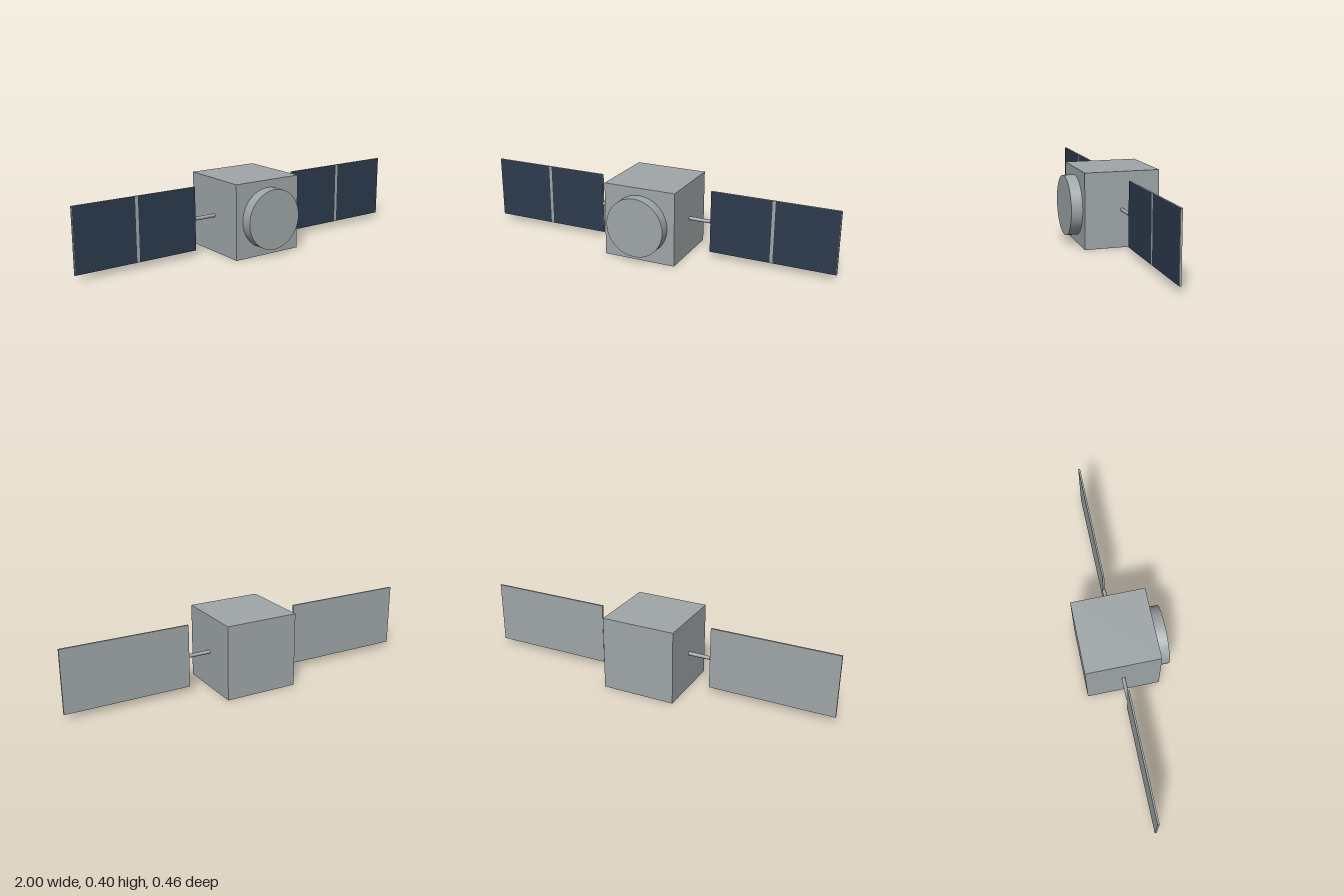
import * as THREE from 'three';

export function createModel() {
  const group = new THREE.Group();
  const grey = new THREE.MeshStandardMaterial({ color: 0xa0a7a9 });
  grey.name = 'hullGrey';
  const navy = new THREE.MeshStandardMaterial({ color: 0x2d3b4e });
  navy.name = 'solarCellNavy';

  const add = (name, geometry, material, x, y, z) => {
    const mesh = new THREE.Mesh(geometry, material);
    mesh.name = name;
    mesh.position.set(x, y, z);
    group.add(mesh);
    return mesh;
  };

  const midY = 0.2, midZ = -0.03;

  // Cubic hull with a round drum on its front
  add('hull', new THREE.BoxGeometry(0.4, 0.4, 0.4), grey, 0, midY, midZ);
  add('frontDrum', new THREE.CylinderGeometry(0.16, 0.16, 0.06, 48), grey, 0, midY, 0.2)
    .rotation.x = Math.PI / 2;

  // Mirrored wings: boom, backing panel and two solar cells
  for (const [side, s] of [['left', 1], ['right', -1]]) {
    add(side + 'Boom', new THREE.CylinderGeometry(0.01, 0.01, 0.12, 16), grey, s * 0.26, midY, midZ)
      .rotation.z = Math.PI / 2;
    add(side + 'Panel', new THREE.BoxGeometry(0.68, 0.34, 0.01), grey, s * 0.66, midY, midZ);
    for (const [part, x] of [['Inner', 0.486], ['Outer', 0.832]]) {
      add(side + part + 'SolarCell', new THREE.PlaneGeometry(0.33, 0.338), navy, s * x, midY, midZ + 0.0058);
    }
  }
  return group;
}
